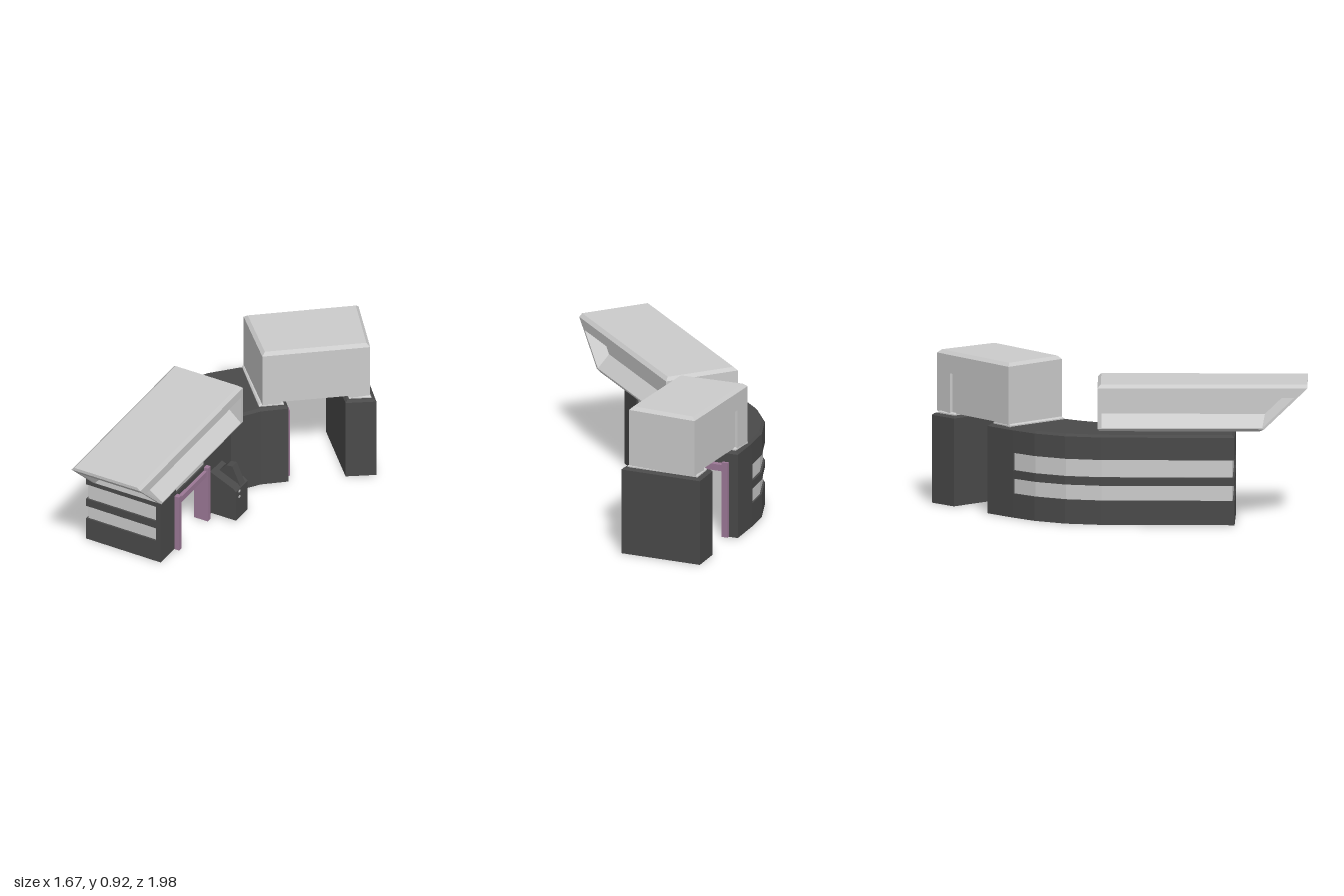
import * as THREE from 'three';

const mat = (color) => new THREE.MeshStandardMaterial({ color, flatShading: true, side: THREE.DoubleSide });

// Skin between stacked rings of [x, y, z] points, closed with flat caps
function loft(rings) {
  const flat = (r) => r.map((p) => new THREE.Vector2(p[0], -p[2]));
  if (THREE.ShapeUtils.isClockWise(flat(rings[0]))) rings = rings.map((r) => [...r].reverse());
  const pos = [];
  const tri = (...pts) => pts.forEach((p) => pos.push(...p));
  for (let k = 0; k + 1 < rings.length; k++) {
    const lo = rings[k], hi = rings[k + 1];
    lo.forEach((a, i) => {
      const j = (i + 1) % lo.length;
      tri(a, lo[j], hi[j]);
      tri(a, hi[j], hi[i]);
    });
  }
  const bottom = rings[0], top = rings[rings.length - 1];
  for (const [a, b, c] of THREE.ShapeUtils.triangulateShape(flat(bottom), [])) tri(bottom[c], bottom[b], bottom[a]);
  for (const [a, b, c] of THREE.ShapeUtils.triangulateShape(flat(top), [])) tri(top[a], top[b], top[c]);
  const g = new THREE.BufferGeometry();
  g.setAttribute('position', new THREE.Float32BufferAttribute(pos, 3));
  g.computeVertexNormals();
  return g;
}

// Mitred inward offset of a plan path of [x, z] points
function offset(path, d, closed) {
  const n = path.length;
  const normal = (a, b) => {
    const dx = b[0] - a[0], dz = b[1] - a[1], l = Math.hypot(dx, dz);
    return [dz / l, -dx / l];
  };
  return path.map((p, i) => {
    const prev = closed || i > 0 ? normal(path[(i + n - 1) % n], p) : null;
    const next = closed || i < n - 1 ? normal(p, path[(i + 1) % n]) : null;
    const a = prev || next, b = next || prev;
    const k = d / (1 + a[0] * b[0] + a[1] * b[1]);
    return [p[0] + (a[0] + b[0]) * k, p[1] + (a[1] + b[1]) * k];
  });
}

const at = (path, y) => path.map(([x, z]) => [x, y, z]);
const lerp = (a, b, t) => [a[0] + (b[0] - a[0]) * t, a[1] + (b[1] - a[1]) * t];

// Upright prism with a bevelled top edge
function prism(plan, y0, y1, bevel = 0) {
  const rings = [at(plan, y0), at(plan, y1 - bevel)];
  if (bevel) rings.push(at(offset(plan, bevel, true), y1));
  return loft(rings);
}

// Wall following an open path, from inset d0 to inset d1
function wall(path, y0, y1, d0 = 0, d1 = 0.035) {
  return prism([...offset(path, d0), ...offset(path, d1).reverse()], y0, y1);
}

export function createModel() {
  const model = new THREE.Group();
  const grey = mat(0xcccccc), dark = mat(0x4a4a4a), purple = mat(0x9c7896);
  const add = (name, geometry, material, parent = model) => {
    const m = new THREE.Mesh(geometry, material);
    m.name = name;
    parent.add(m);
    return m;
  };
  const box = (name, x0, x1, y0, y1, z0, z1, material, parent) =>
    add(name, new THREE.BoxGeometry(x1 - x0, y1 - y0, z1 - z0), material, parent)
      .position.set((x0 + x1) / 2, (y0 + y1) / 2, (z0 + z1) / 2);

  // Curved hollow hall: plan runs counter-clockwise from the left end corner
  const endL = [-0.8, 0.35], endR = [-0.33, 0.55], bend = [0, -0.22];
  const gateF = [0.325, -0.385], gateB = [0.17, -0.84];
  const arc = [[-0.02, -0.77], [-0.2, -0.69], [-0.365, -0.56], [-0.49, -0.38]];
  const curve = [[0.06, -0.27], [0.165, -0.335]];
  const top = 0.52;
  add('hallRoof', prism([endL, endR, bend, ...curve, gateF, gateB, ...arc], 0.5, 0.54, 0.015), dark);

  // Window bands wrap the back wall and the end wall
  const glazed = [[-0.04, -0.762], ...arc.slice(1), endL, [-0.36, 0.537]];
  for (const [y0, y1] of [[0, 0.145], [0.235, 0.285], [0.39, top]]) add('hallWallBand', wall(glazed, y0, y1), dark);
  for (const [y0, y1] of [[0.145, 0.235], [0.285, 0.39]]) add('windowBand', wall(glazed, y0, y1, 0.012, 0.025), grey);

  // Solid walls around the door and the gate
  const doorA = lerp(endR, bend, 0.22), doorB = lerp(endR, bend, 0.63);
  const gateA = lerp(gateF, gateB, 0.14), gateZ = lerp(gateF, gateB, 0.86);
  add('frontCornerWall', wall([glazed[glazed.length - 1], endR, doorA], 0, top), dark);
  add('doorLintel', wall([doorA, doorB], 0.345, 0.39), dark);
  add('doorWindow', wall([doorA, doorB], 0.39, 0.49, 0.01, 0.025), grey);
  add('doorHeader', wall([doorA, doorB], 0.49, top), dark);
  add('innerWall', wall([doorB, bend, ...curve, gateF, gateA], 0, top), dark);
  add('gateHeader', wall([gateA, gateZ], 0.46, top), dark);
  add('backCornerWall', wall([gateZ, gateB, glazed[0]], 0, top), dark);

  // Gate frame under the bridge
  for (const [t0, t1] of [[0.12, 0.2], [0.8, 0.88]])
    add('gatePost', wall([lerp(gateF, gateB, t0), lerp(gateF, gateB, t1)], 0, 0.47, -0.02, 0.07), purple);
  add('gateBeam', wall([lerp(gateF, gateB, 0.2), lerp(gateF, gateB, 0.8)], 0.41, 0.45, -0.01, 0.05), purple);

  // Group aligned with the straight part of the hall
  const wing = new THREE.Group();
  wing.name = 'wing';
  wing.rotation.y = -Math.PI / 8;
  model.add(wing);

  // Door frame
  for (const z of [0.105, 0.455]) box('doorPost', -0.155, -0.06, 0, 0.38, z - 0.016, z + 0.016, purple, wing);
  box('doorBeam', -0.13, -0.068, 0.32, 0.357, 0.12, 0.44, purple, wing);

  // Upper storey: slanted nose, with a window recess on the sides and nose
  const x0 = -0.462, x1 = 0.006, z0 = -0.187;
  const nose = (y) => 0.79 + (y - 0.54) * 1.04;
  const ring = (y, i, back = 0) => at([[x0 + i, z0 + back], [x0 + i, nose(y) - i], [x1 - i, nose(y) - i], [x1 - i, z0 + back]], y);
  add('upperStorey', loft([
    ring(0.54, 0.012, 0.012), ring(0.555, 0), ring(0.562, 0), ring(0.635, 0.08),
    ring(0.735, 0.08), ring(0.742, 0), ring(0.8, 0), ring(0.82, 0.02, 0.02),
  ]), grey, wing);
  box('upperBackWall', x0, x1, 0.556, 0.76, z0, z0 + 0.025, grey, wing);
  for (const [x, s] of [[x0, 1], [x1, -1]]) {
    const web = (y) => {
      const e = nose(y);
      return at([[x, e], [x, e - 0.02], [x + s * 0.085, e - 0.085], [x + s * 0.02, e]], y);
    };
    add('noseCornerPost', loft([web(0.558), web(0.746)]), grey, wing);
  }

  // Kiosk with sloping top and raised hood
  const side = (name, pts, z, depth) => {
    const shape = new THREE.Shape(pts.map((p) => new THREE.Vector2(...p)));
    add(name, new THREE.ExtrudeGeometry(shape, { depth, bevelEnabled: false }), dark, wing).position.z = z;
  };
  side('kiosk', [[-0.09, 0.01], [0.09, 0.01], [0.09, 0.215], [0.065, 0.235], [-0.09, 0.305]], -0.095, 0.14);
  side('kioskHood', [[-0.07, 0.28], [-0.01, 0.34], [0.03, 0.345], [0.085, 0.22], [0.0, 0.22]], -0.07, 0.055);
  for (const y of [0.155, 0.195]) box('kioskLight', 0.085, 0.093, y, y + 0.014, 0.0, 0.014, grey, wing);

  // Outer pillar
  const pillar = [[0.655, -0.478], [0.835, -0.515], [0.668, -0.997], [0.485, -0.93]];
  add('pillar', prism(pillar, 0, 0.54, 0.012), dark);

  // Bridge block with shallow recessed panels front and back
  const bF = [0.17, -0.365], bR = [0.795, -0.54], bB = [0.675, -0.96], bL = [0.01, -0.77];
  const notch = (a, b) => {
    const cut = [lerp(a, b, 0.18), lerp(a, b, 0.81)];
    return [a, cut[0], ...offset(cut, 0.018), cut[1]];
  };
  add('bridgeLower', prism([...notch(bF, bR), bR, ...notch(bB, bL), bL].filter((p, i, l) => l.indexOf(p) === i), 0.55, 0.79), grey);
  add('bridgeUpper', prism([bF, bR, bB, bL], 0.79, 0.92, 0.02), grey);

  // Plinths carrying the bridge
  add('pillarPlinth', prism(offset(pillar, 0.025, true), 0.53, 0.555, 0.008), grey);
  add('hallPlinth', prism([[0.15, -0.36], [0.295, -0.4], [0.155, -0.81], [0.0, -0.765]], 0.53, 0.555, 0.008), grey);

  return model;
}
